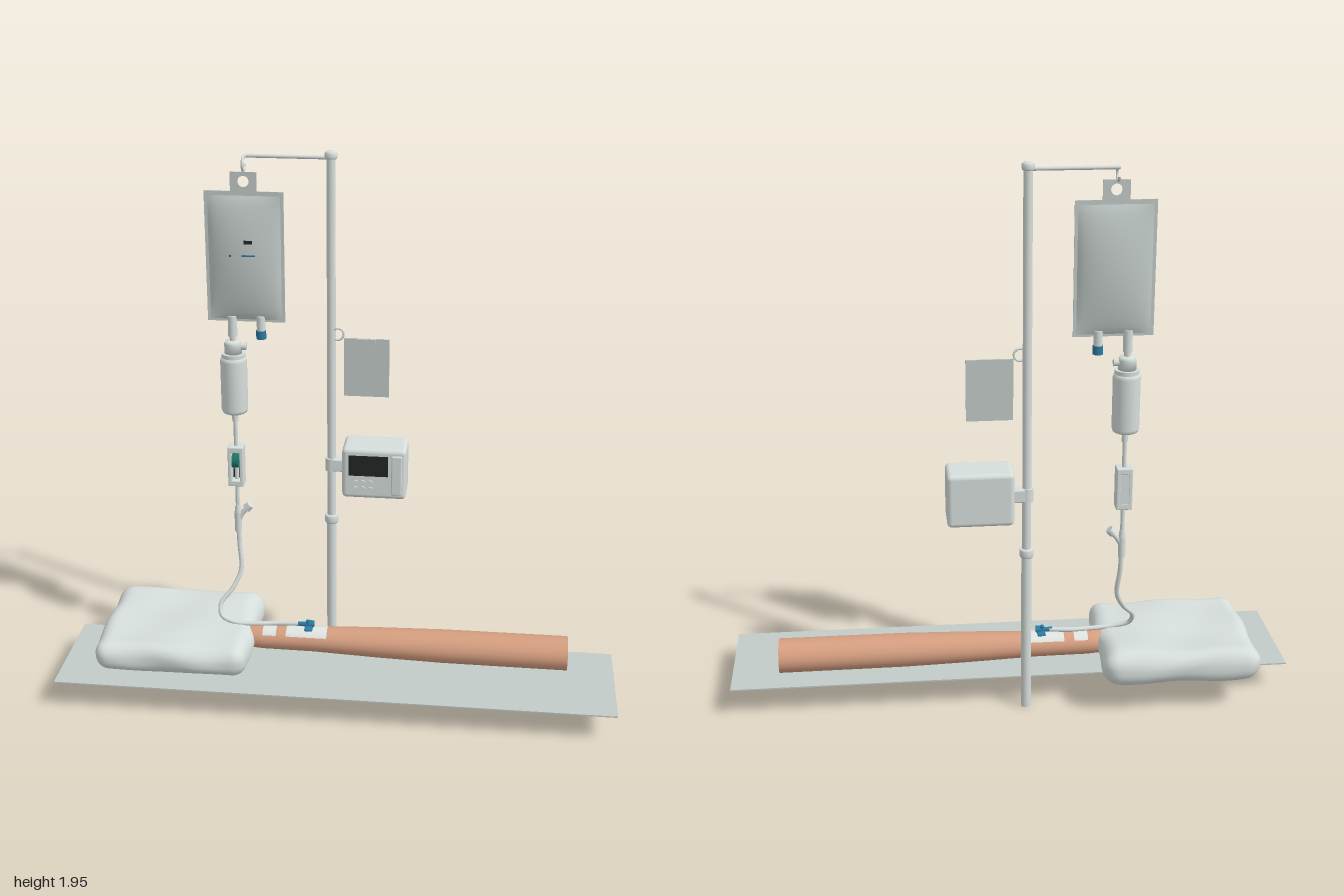
import * as THREE from 'three';
import { RoundedBoxGeometry } from 'three/addons/geometries/RoundedBoxGeometry.js';
import { mergeVertices } from 'three/addons/utils/BufferGeometryUtils.js';

const mat = (name, color, side = THREE.FrontSide) => {
  const m = new THREE.MeshStandardMaterial({ color, side });
  m.name = name;
  return m;
};

export function createModel() {
  const root = new THREE.Group();
  root.name = 'infusionStand';
  const plastic = mat('palePlastic', 0xd6dedb);
  const film = mat('greyFilm', 0xc2cbc8, THREE.DoubleSide);
  const skin = mat('skin', 0xd59e80);
  const blue = mat('blueConnector', 0x2b7ba3);
  const teal = mat('tealRoller', 0x18786a);
  const dark = mat('darkScreen', 0x222625);
  const red = mat('redMark', 0xa03030);

  const add = (name, geo, m, x = 0, y = 0, z = 0, parent = root) => {
    const mesh = new THREE.Mesh(geo, m);
    mesh.name = name;
    mesh.position.set(x, y, z);
    parent.add(mesh);
    return mesh;
  };
  const group = (name) => {
    const g = new THREE.Group();
    g.name = name;
    root.add(g);
    return g;
  };
  const box = (w, h, d) => new THREE.BoxGeometry(w, h, d);
  const rbox = (w, h, d, r) => new RoundedBoxGeometry(w, h, d, 3, r);
  const cyl = (r, h, r2 = r) => new THREE.CylinderGeometry(r, r2, h, 24);
  const tube = (pts, r, n = 60) => new THREE.TubeGeometry(
    new THREE.CatmullRomCurve3(pts.map(p => new THREE.Vector3(...p))), n, r, 10);
  const lathe = (pts) => new THREE.LatheGeometry(pts.map(p => new THREE.Vector2(...p)), 28);

  // Pole with collar, cap and hanging arm
  const PX = -0.045, PZ = -0.16;
  const stand = group('stand');
  add('lowerPole', cyl(0.018, 0.6), plastic, PX, 0.3, PZ, stand);
  add('upperPole', cyl(0.0155, 1.34), plastic, PX, 1.265, PZ, stand);
  add('poleCollar', lathe([[0, -0.016], [0.022, -0.016], [0.025, -0.01], [0.025, 0.01], [0.022, 0.016], [0, 0.016]]),
    plastic, PX, 0.603, PZ, stand);
  add('poleCap', lathe([[0, -0.012], [0.019, -0.012], [0.021, -0.007], [0.021, 0.006], [0.015, 0.013], [0, 0.015]]),
    plastic, PX, 1.935, PZ, stand);
  const arm = add('hangingArm', cyl(0.0065, 0.29), plastic, PX - 0.145, 1.926, PZ, stand);
  arm.rotation.z = Math.PI / 2;
  const hook = [[-0.325, 1.926, PZ], [-0.335, 1.926, PZ + 0.004]];
  for (let i = 0; i <= 10; i++) {
    const a = 2.1 - i * 0.5;
    hook.push([-0.336, 1.903 + 0.023 * Math.sin(a), -0.137 + 0.023 * Math.cos(a)]);
  }
  add('bagHook', tube(hook, 0.005), plastic, 0, 0, 0, stand);

  // Fluid bag: welded sheet with hanging tab and a bulging body
  const BX = -0.335, BZ = -0.12;
  const bag = group('fluidBag');
  const sheet = new THREE.Shape([[-0.135, 1.36], [0.135, 1.36], [0.135, 1.815], [0.045, 1.815], [0.045, 1.88],
    [-0.045, 1.88], [-0.045, 1.815], [-0.135, 1.815]].map(p => new THREE.Vector2(...p)));
  sheet.holes.push(new THREE.Path().absarc(0, 1.848, 0.019, 0, Math.PI * 2, true));
  add('bagSheet', new THREE.ExtrudeGeometry(sheet, { depth: 0.004, bevelEnabled: false }), film, BX, 0, BZ - 0.002, bag);
  const bulge = (sign) => {
    const g = new THREE.PlaneGeometry(0.248, 0.432, 24, 32);
    const p = g.attributes.position;
    for (let i = 0; i < p.count; i++) {
      const u = p.getX(i) / 0.124, v = p.getY(i) / 0.216;
      const f = Math.max(0, (1 - u * u) * (1 - v * v));
      p.setZ(i, 0.002 + 0.032 * Math.pow(f, 0.75));
    }
    if (sign < 0) g.rotateY(Math.PI);
    g.computeVertexNormals();
    return g;
  };
  add('bagFront', bulge(1), film, BX, 1.584, BZ, bag);
  add('bagBack', bulge(-1), film, BX, 1.584, BZ, bag);
  // Small printed marks
  add('darkMark', box(0.028, 0.012, 0.004), dark, -0.319, 1.648, -0.087, bag);
  add('redDot', box(0.007, 0.007, 0.004), red, -0.38, 1.6, -0.091, bag);
  add('blueStripe', box(0.045, 0.005, 0.004), blue, -0.318, 1.602, -0.086, bag);
  // Ports
  const DX = -0.385;
  add('outletPort', cyl(0.016, 0.075), plastic, DX, 1.342, BZ, bag);
  add('outletSpike', cyl(0.011, 0.06), plastic, DX, 1.295, BZ, bag);
  add('injectionPort', cyl(0.015, 0.055), plastic, -0.285, 1.353, BZ, bag);
  add('injectionCap', cyl(0.0175, 0.03), blue, -0.285, 1.314, BZ, bag);

  // Drip chamber
  const drip = group('dripChamber');
  add('chamberBody', lathe([[0, 1.02], [0.035, 1.02], [0.043, 1.024], [0.047, 1.036], [0.047, 1.215],
    [0.044, 1.226], [0.036, 1.232], [0, 1.232]]), plastic, DX, 0, BZ, drip);
  add('chamberRim', cyl(0.042, 0.014), plastic, DX, 1.236, BZ, drip);
  add('chamberCap', lathe([[0, 1.24], [0.031, 1.24], [0.031, 1.278], [0.026, 1.288], [0, 1.29]]), plastic, DX, 0, BZ, drip);
  const vent = add('airVent', cyl(0.013, 0.03), plastic, DX + 0.032, 1.268, BZ, drip);
  vent.rotation.z = Math.PI / 2;

  // Roller clamp: open-fronted housing with a roller
  const clamp = group('rollerClamp');
  for (const s of [-1, 1]) {
    add('clampSide', rbox(0.014, 0.152, 0.052, 0.004), plastic, DX + s * 0.021, 0.816, BZ, clamp);
    add('clampEnd', rbox(0.054, 0.022, 0.052, 0.004), plastic, DX, 0.816 + s * 0.065, BZ, clamp);
  }
  add('clampBack', box(0.04, 0.14, 0.01), plastic, DX, 0.816, BZ - 0.02, clamp);
  add('clampSlot', box(0.03, 0.11, 0.006), dark, DX, 0.816, BZ - 0.011, clamp);
  const roller = add('roller', cyl(0.026, 0.024), teal, DX, 0.838, BZ + 0.012, clamp);
  roller.rotation.z = Math.PI / 2;

  // Tubing with side port
  const line = group('tubing');
  add('upperTube', cyl(0.0075, 0.48), plastic, DX, 0.8, BZ, line);
  add('chamberOutlet', cyl(0.011, 0.04), plastic, DX, 1.005, BZ, line);
  add('portBody', cyl(0.013, 0.075), plastic, DX, 0.59, BZ, line);
  add('portNeck', cyl(0.009, 0.03, 0.013), plastic, DX, 0.64, BZ, line);
  add('portBranch', tube([[DX, 0.59, BZ], [DX + 0.016, 0.622, BZ], [DX + 0.036, 0.646, BZ]], 0.009, 12), plastic, 0, 0, 0, line);
  const tip = add('branchCap', cyl(0.015, 0.022), plastic, DX + 0.039, 0.651, BZ, line);
  tip.rotation.z = -0.75;
  add('lowerTube', tube([[DX, 0.57, BZ], [-0.382, 0.5, -0.118], [-0.376, 0.4, -0.1], [-0.405, 0.335, -0.072],
    [-0.444, 0.285, -0.046], [-0.438, 0.245, -0.025], [-0.39, 0.226, -0.014], [-0.3, 0.222, -0.02],
    [-0.22, 0.224, -0.028], [-0.14, 0.228, -0.025]], 0.0085, 100), plastic, 0, 0, 0, line);

  // Arm with an oval, tapering section
  const limb = group('patientArm');
  const armGeo = lathe([[0, -0.36], [0.035, -0.355], [0.047, -0.335], [0.051, -0.28], [0.052, -0.1], [0.062, 0.15],
    [0.068, 0.38], [0.069, 0.83]]);
  armGeo.rotateZ(-Math.PI / 2);
  armGeo.scale(1, 0.86, 1);
  add('forearm', armGeo, skin, 0, 0.17, -0.022, limb);
  const end = add('armEnd', new THREE.CircleGeometry(0.069, 28), skin, 0.83, 0.17, -0.022, limb);
  end.rotation.y = Math.PI / 2;
  end.scale.y = 0.86;

  // Tape and dressing wrapped over the arm
  const strap = (name, x, w, m) => {
    const g = new THREE.CylinderGeometry(0.0545, 0.0535, w, 20, 1, true, -0.95, 1.9);
    g.rotateX(-Math.PI / 2).rotateY(-Math.PI / 2);
    const p = g.attributes.position;
    for (let i = 0; i < p.count; i++) p.setY(i, Math.abs(p.getY(i)) * 0.88);
    g.computeVertexNormals();
    add(name, g, m, x, 0.17, -0.022, limb);
  };
  const tape = mat('whiteTape', 0xdfe4e1, THREE.DoubleSide);
  strap('tapeStrip', -0.257, 0.05, tape);
  strap('dressing', -0.158, 0.075, tape);
  strap('dressingFront', -0.083, 0.075, tape);

  // Catheter with wings
  const catheter = group('catheter');
  const hub = add('catheterHub', cyl(0.01, 0.06, 0.008), blue, -0.125, 0.228, -0.025, catheter);
  hub.rotation.z = -Math.PI / 2;
  add('catheterWings', rbox(0.03, 0.007, 0.075, 0.003), blue, -0.113, 0.222, -0.024, catheter);
  add('catheterPort', cyl(0.008, 0.022), blue, -0.118, 0.232, -0.025, catheter);

  // Soft pillow: rounded block with gentle creases
  const half = new THREE.Vector3(0.28, 0.059, 0.243), r = 0.054;
  const soft = new THREE.BoxGeometry(0.56, 0.118, 0.486, 44, 12, 38);
  soft.deleteAttribute('normal');
  soft.deleteAttribute('uv');
  const pillowGeo = mergeVertices(soft);
  const pp = pillowGeo.attributes.position, v = new THREE.Vector3(), core = new THREE.Vector3();
  const inner = half.clone().subScalar(r);
  for (let i = 0; i < pp.count; i++) {
    v.fromBufferAttribute(pp, i);
    core.copy(v).clamp(inner.clone().negate(), inner);
    v.sub(core).normalize().multiplyScalar(r).add(core);
    const { x, y, z } = v;
    v.y += (y / half.y) * 0.004 * (Math.sin(x * 17 + z * 9) + Math.sin(z * 23 - x * 6));
    v.x += (x / half.x) * 0.004 * Math.sin(z * 24 + y * 20);
    v.z += (z / half.z) * 0.004 * Math.sin(x * 21 + y * 25);
    pp.setXYZ(i, v.x, v.y, v.z);
  }
  pillowGeo.computeVertexNormals();
  add('pillow', pillowGeo, plastic, -0.595, 0.168, -0.032);

  // Thin resting board
  add('restingBoard', box(2, 0.005, 0.415), film, 0, 0.104, 0.0675);

  // Pump with screen, keys and door, clamped to the pole
  const pump = group('pump');
  add('pumpCase', rbox(0.228, 0.19, 0.138, 0.016), plastic, 0.115, 0.82, -0.144, pump);
  add('pumpScreen', box(0.14, 0.076, 0.006), dark, 0.095, 0.853, -0.074, pump);
  add('pumpDoor', rbox(0.038, 0.15, 0.014, 0.005), plastic, 0.196, 0.82, -0.076, pump);
  for (let row = 0; row < 2; row++) for (let col = 0; col < 3; col++) {
    const key = add('pumpKey', cyl(0.01, 0.008), plastic, 0.05 + col * 0.026, 0.788 - row * 0.025, -0.074, pump);
    key.rotation.x = Math.PI / 2;
  }
  add('pumpBracket', rbox(0.05, 0.048, 0.045, 0.006), plastic, -0.018, 0.82, PZ, pump);
  add('bracketRing', cyl(0.023, 0.048), plastic, PX, 0.82, PZ, pump);

  // Record card on a ring
  const card = group('recordCard');
  add('cardSheet', box(0.158, 0.213, 0.005), film, 0.08, 1.194, -0.152, card);
  add('cardClip', box(0.066, 0.02, 0.009), film, 0.078, 1.29, -0.148, card);
  add('cardRing', new THREE.TorusGeometry(0.021, 0.004, 8, 24), plastic, -0.022, 1.314, -0.152, card);
  return root;
}
